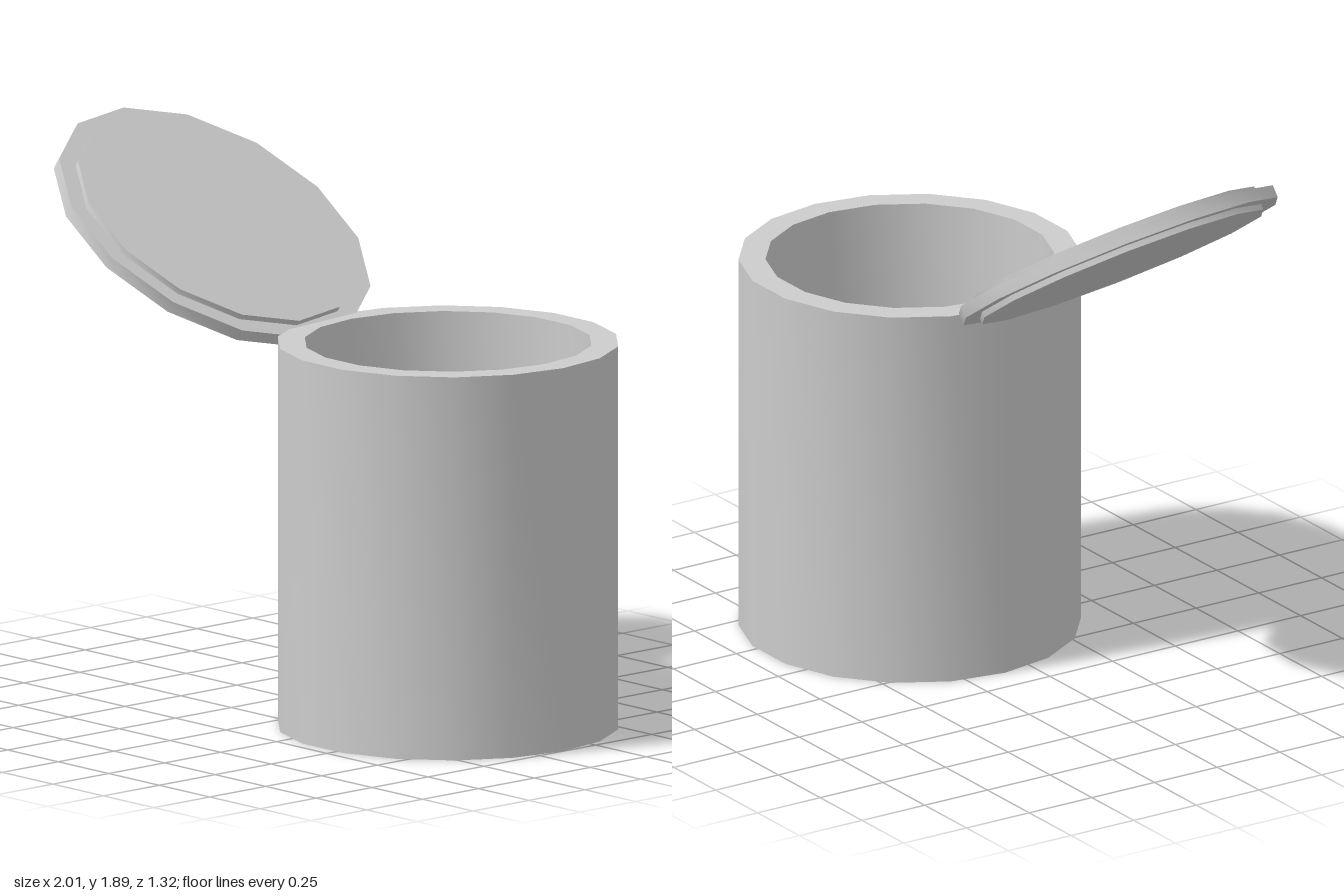
import * as THREE from 'three';
import { toCreasedNormals } from 'three/addons/utils/BufferGeometryUtils.js';

// Solid of revolution from [radius, height] pairs, sharp at the profile corners
function turned(name, profile, sides) {
  const points = profile.map(([r, y]) => new THREE.Vector2(r, y));
  const geometry = toCreasedNormals(new THREE.LatheGeometry(points, sides), 0.6);
  const mesh = new THREE.Mesh(geometry, new THREE.MeshStandardMaterial({ color: 0xcccccc }));
  mesh.name = name;
  return mesh;
}

export function createModel() {
  const model = new THREE.Group();
  model.name = 'canister';

  // Hollow body: outer wall, rim, inner wall and floor
  const body = turned('body', [
    [0, 0], [0.57, 0], [0.57, 1.3], [0.48, 1.3], [0.48, 0.09], [0, 0.09],
  ], 18);
  body.rotation.y = Math.PI / 2;
  body.position.set(0.43, 0, -0.105);
  model.add(body);

  // Lid: wide flange with a slightly smaller raised disc on both faces
  const lid = turned('lid', [
    [0, -0.063], [0.51, -0.063], [0.51, -0.043], [0.57, -0.043],
    [0.57, 0], [0.51, 0], [0.51, 0.02], [0, 0.02],
  ], 14);

  // Tip the lid open, leaning up and away from the body
  const normal = new THREE.Vector3(0.655, 1, -0.088).normalize();
  const across = new THREE.Vector3().crossVectors(normal, new THREE.Vector3(-0.47, 0.31, -0.023)).normalize();
  const uphill = new THREE.Vector3().crossVectors(across, normal);
  lid.quaternion.setFromRotationMatrix(new THREE.Matrix4().makeBasis(across, normal, uphill));
  lid.position.set(-0.505, 1.583, 0.093);
  model.add(lid);

  return model;
}
